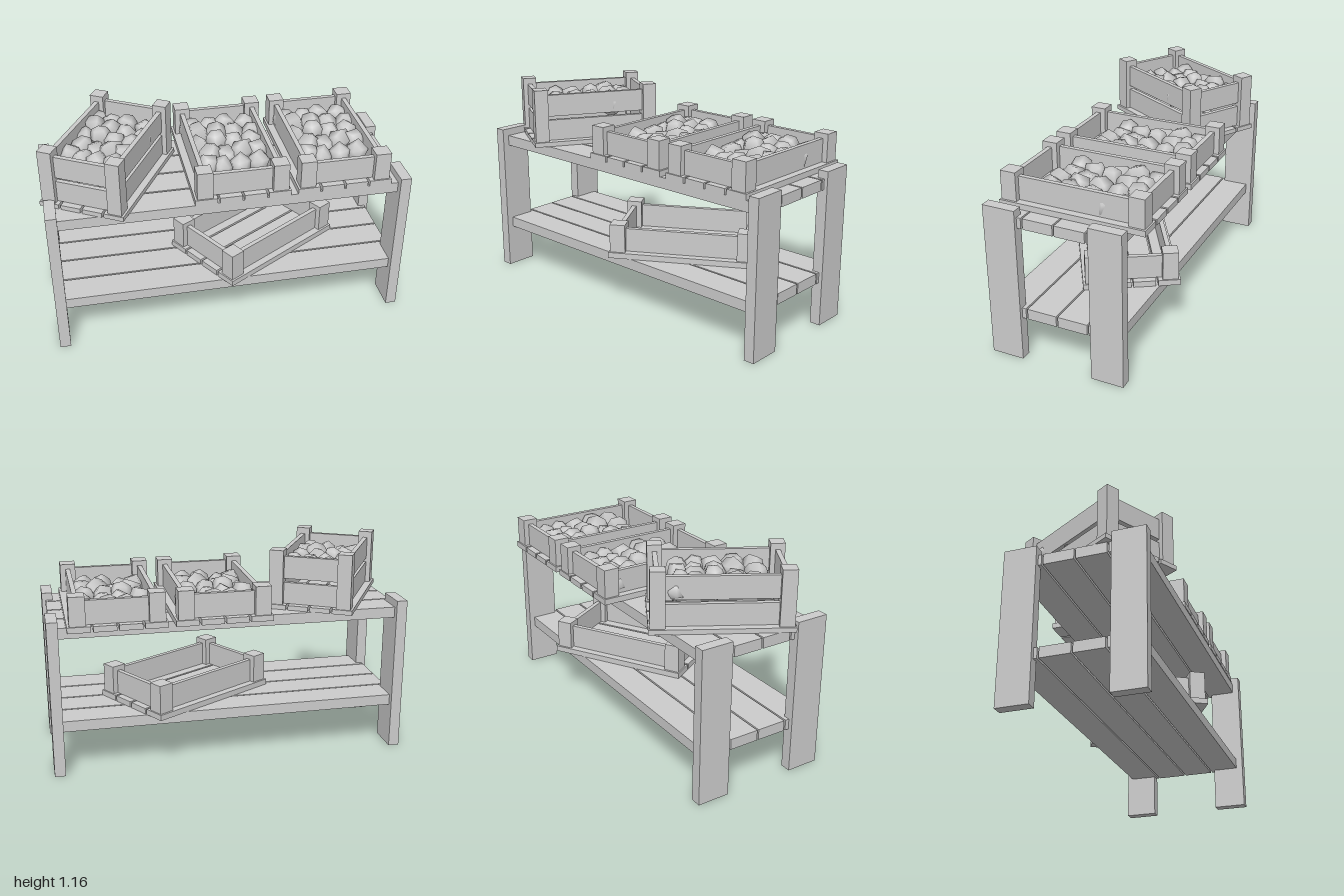
import * as THREE from 'three';

const material = new THREE.MeshStandardMaterial({ color: 0xcccccc });
const stoneMaterial = new THREE.MeshStandardMaterial({ color: 0xcccccc, side: THREE.DoubleSide });

// Box given by its size and the centre of its underside
function box(parent, name, w, h, d, x, y, z) {
  const mesh = new THREE.Mesh(new THREE.BoxGeometry(w, h, d), material);
  mesh.name = name;
  mesh.position.set(x, y + h / 2, z);
  parent.add(mesh);
  return mesh;
}

function seeded(seed) {
  let s = seed;
  return () => {
    s = (s * 16807) % 2147483647;
    return s / 2147483647;
  };
}

// Slatted crate: boards is a list of [bottom, height] per side board
function createCrate({ name, w, d, base, post, postHeight, boards }) {
  const crate = new THREE.Group();
  crate.name = name;

  // Four floor slats running front to back
  const gap = 0.012;
  const slat = (w - 3 * gap) / 4;
  for (let i = 0; i < 4; i++) {
    box(crate, 'floorSlat', slat, base, d, (i - 1.5) * (slat + gap), 0, 0);
  }

  // Corner posts, slightly inside the floor edge
  const px = w / 2 - 0.012 - post / 2;
  const pz = d / 2 - 0.008 - post / 2;
  for (const sx of [-1, 1]) {
    for (const sz of [-1, 1]) {
      box(crate, 'cornerPost', post, postHeight, post, sx * px, base, sz * pz);
    }
  }

  // Side boards between the posts
  for (const [y, h] of boards) {
    for (const s of [-1, 1]) {
      box(crate, 'longBoard', 0.026, h, 2 * pz, s * px, y, 0);
      box(crate, 'shortBoard', 2 * px, h, 0.026, 0, y, s * pz);
    }
  }
  return crate;
}

// A layer of tilted, chunky produce in staggered rows
function createProduce(seed) {
  const pile = new THREE.Group();
  pile.name = 'produce';
  const random = seeded(seed);
  const geometry = new THREE.SphereGeometry(0.074, 5, 4);
  for (let row = 0; row < 5; row++) {
    for (let col = 0; col < 4; col++) {
      const stone = new THREE.Mesh(geometry, stoneMaterial);
      stone.name = 'produceItem';
      stone.position.set(
        (col - 1.5) * 0.096 + (row % 2 ? 0.012 : -0.012) + (random() - 0.5) * 0.025,
        (random() - 0.5) * 0.03,
        (row - 2) * 0.108 + (random() - 0.5) * 0.03
      );
      stone.rotation.set(random() * 6.28, random() * 6.28, random() * 6.28);
      stone.scale.set(0.95, 0.85 + random() * 0.25, 0.9);
      pile.add(stone);
    }
  }
  return pile;
}

export function createModel() {
  const model = new THREE.Group();
  model.name = 'produceStand';

  // Legs
  for (const x of [-0.95, 0.97]) {
    for (const [z, depth] of [[0.313, 0.184], [-0.275, 0.182]]) {
      box(model, 'leg', 0.06, 0.872, depth, x, 0, z);
    }
  }

  // Two shelves of four planks
  for (const [name, y] of [['lowerPlank', 0.245], ['upperPlank', 0.77]]) {
    for (let i = 0; i < 4; i++) {
      box(model, name, 1.935, 0.06, 0.168, 0.0125, y, -0.25 + i * 0.1775);
    }
  }

  const shallow = {
    w: 0.525, d: 0.81, base: 0.032, post: 0.086, postHeight: 0.158, boards: [[0.032, 0.13]]
  };

  // Two shallow crates side by side
  for (const x of [0.07, 0.635]) {
    const crate = createCrate({ name: 'shallowCrate', ...shallow });
    crate.position.set(x, 0.83, -0.035);
    const produce = createProduce(77);
    produce.position.set(0.005, 0.085, -0.053);
    crate.add(produce);
    model.add(crate);
  }

  // Tall crate, turned on the upper shelf
  const tall = createCrate({
    name: 'tallCrate', w: 0.48, d: 0.74, base: 0.026, post: 0.078, postHeight: 0.304,
    boards: [[0.028, 0.12], [0.17, 0.125]]
  });
  tall.position.set(-0.605, 0.83, -0.003);
  tall.rotation.y = -Math.PI / 6;
  const produce = createProduce(77);
  produce.scale.setScalar(0.92);
  produce.position.set(0, 0.215, -0.02);
  tall.add(produce);
  model.add(tall);

  // Empty crate, turned on the lower shelf
  const empty = createCrate({ name: 'emptyCrate', ...shallow, postHeight: 0.16, boards: [[0.032, 0.133]] });
  empty.position.set(0.212, 0.305, 0);
  empty.rotation.y = THREE.MathUtils.degToRad(-59);
  model.add(empty);

  return model;
}
